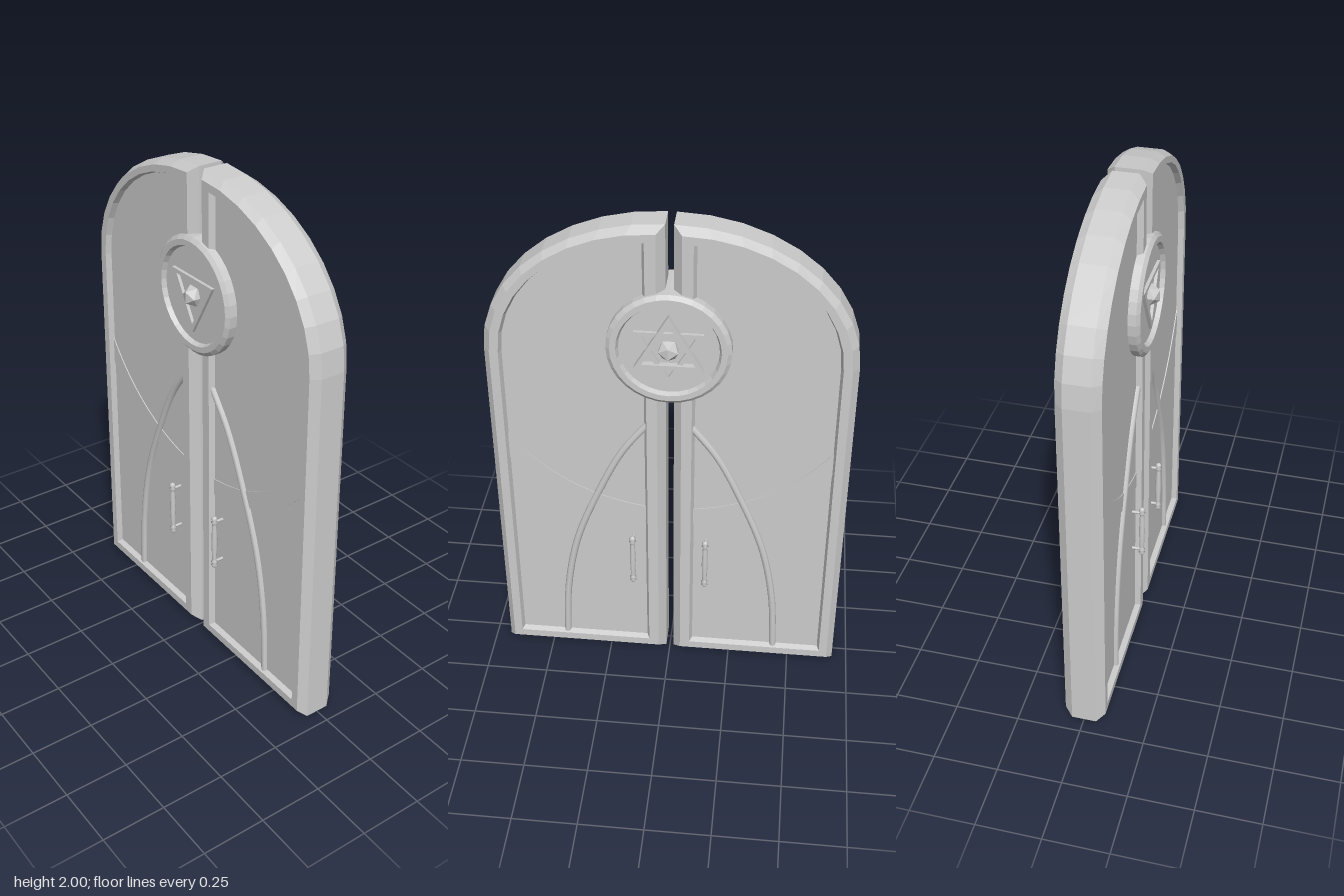
import * as THREE from 'three';

const metal = new THREE.MeshStandardMaterial({ color: 0xcccccc, flatShading: true });
const smooth = new THREE.MeshStandardMaterial({ color: 0xcccccc });

function add(parent, name, geometry, material = metal) {
  const mesh = new THREE.Mesh(geometry, material);
  mesh.name = name;
  parent.add(mesh);
  return mesh;
}

// Extrude a shape between two depths
function slab(shape, z0, z1, curveSegments = 24) {
  return new THREE.ExtrudeGeometry(shape, { depth: z1 - z0, bevelEnabled: false, curveSegments }).translate(0, 0, z0);
}

// Counter-clockwise outline of one door leaf, inset by d
function outline(d) {
  const inner = 0.015 + 1.2 * d, spring = 1.47, n = 9;
  const pts = [new THREE.Vector2(inner, d), new THREE.Vector2(0.69 - d, d)];
  for (let i = 0; i <= n; i++) {
    const a = (i / n) * Math.PI / 2;
    pts.push(new THREE.Vector2(
      inner + (0.68 - d - inner) * Math.cos(a),
      spring + (0.53 - d) * Math.sin(a)));
  }
  return pts;
}

// Chamfered frame: outlines joined through a list of [inset, depth] steps
function frameGeometry() {
  const half = [[0.07, 0.05], [0.058, 0.08], [0.025, 0.08], [0, 0.048]];
  const steps = [...half, ...half.slice().reverse().map(([d, z]) => [d, -z])];
  const pos = [], index = [];
  for (const [d, z] of steps) for (const p of outline(d)) pos.push(p.x, p.y, z);
  const n = outline(0).length;
  for (let k = 0; k < steps.length - 1; k++) {
    for (let j = 0; j < n; j++) {
      const a = k * n + j, d = k * n + (j + 1) % n;
      index.push(a, a + n, d + n, a, d + n, d);
    }
  }
  const g = new THREE.BufferGeometry();
  g.setAttribute('position', new THREE.Float32BufferAttribute(pos, 3));
  g.setIndex(index);
  const flat = g.toNonIndexed();
  flat.computeVertexNormals();
  return flat;
}

// Pull handle with round finials and two posts
function createHandle() {
  const handle = new THREE.Group();
  handle.name = 'handle';
  const profile = [[0, -0.122], [0.008, -0.118], [0.013, -0.11], [0.008, -0.1], [0.014, -0.095],
    [0.008, -0.088], [0.009, -0.08], [0.012, 0]];
  const full = [...profile, ...profile.slice(0, -1).reverse().map(([r, y]) => [r, -y])];
  add(handle, 'handleBar', new THREE.LatheGeometry(full.map(([r, y]) => new THREE.Vector2(r, y)), 12), smooth);
  for (const y of [-0.094, 0.094]) {
    add(handle, 'handlePost', new THREE.CylinderGeometry(0.006, 0.006, 0.045, 8).rotateX(Math.PI / 2), smooth)
      .position.set(0, y, -0.022);
  }
  return handle;
}

function createLeaf() {
  const leaf = new THREE.Group();
  add(leaf, 'doorFrame', frameGeometry());
  add(leaf, 'doorPanel', slab(new THREE.Shape(outline(0.062)), -0.058, 0.058));

  // Sweeping band concentric with the medallion
  const band = new THREE.Shape();
  const down = -Math.PI / 2, angle = (u, r) => down + Math.asin(u / r);
  band.absarc(0, 1.525, 0.825, angle(0.06, 0.825), angle(0.645, 0.825), false);
  band.absarc(0, 1.525, 0.755, angle(0.645, 0.755), angle(0.06, 0.755), true);
  add(leaf, 'curvedBand', slab(band, -0.062, 0.062));

  // Arch moulding and handle on both faces
  for (const side of [1, -1]) {
    const path = new THREE.CatmullRomCurve3(
      [[0.07, 1.19], [0.18, 1.04], [0.276, 0.84], [0.37, 0.59], [0.42, 0.33], [0.437, 0.05]]
        .map(([u, y]) => new THREE.Vector3(u, y, side * 0.06)));
    add(leaf, 'archMoulding', new THREE.TubeGeometry(path, 28, 0.014, 8), smooth);
    const handle = createHandle();
    handle.position.set(0.145, 0.522, side * 0.097);
    if (side < 0) handle.rotation.y = Math.PI;
    leaf.add(handle);
  }
  return leaf;
}

// Flat triangular ring; up = 1 points upward, -1 downward
function triangle(up) {
  const corners = r => [0, 1, 2].map(i => {
    const a = up * Math.PI / 2 + i * Math.PI * 2 / 3;
    return new THREE.Vector2(r * Math.cos(a), r * Math.sin(a));
  });
  const shape = new THREE.Shape(corners(0.145));
  shape.holes.push(new THREE.Path(corners(0.112).reverse()));
  return shape;
}

function createMedallion() {
  const medallion = new THREE.Group();
  medallion.name = 'medallion';
  const half = [[0, 0.082], [0.182, 0.082], [0.19, 0.1], [0.212, 0.1], [0.227, 0.088]];
  const profile = [...half.map(([r, y]) => [r, -y]), ...half.slice().reverse()];
  add(medallion, 'medallionDisc',
    new THREE.LatheGeometry(profile.map(([r, y]) => new THREE.Vector2(r, y)), 32).rotateX(Math.PI / 2));
  add(medallion, 'uprightTriangle', slab(triangle(1), 0, 0.105));
  add(medallion, 'invertedTriangle', slab(triangle(-1), -0.094, 0.094));
  for (const side of [1, -1]) {
    add(medallion, 'gem', new THREE.IcosahedronGeometry(0.042, 0)).position.z = side * 0.086;
  }
  medallion.position.y = 1.525;
  return medallion;
}

export function createModel() {
  const model = new THREE.Group();
  model.name = 'archedDoubleDoor';
  // Two leaves, the second turned half round
  for (const [name, turn] of [['backLeaf', 0], ['frontLeaf', Math.PI]]) {
    const leaf = createLeaf();
    leaf.name = name;
    leaf.rotation.y = turn;
    model.add(leaf);
  }
  model.add(createMedallion());
  // The door faces lie towards +x and -x
  model.rotation.y = Math.PI / 2;
  const root = new THREE.Group();
  root.name = 'door';
  root.add(model);
  return root;
}
